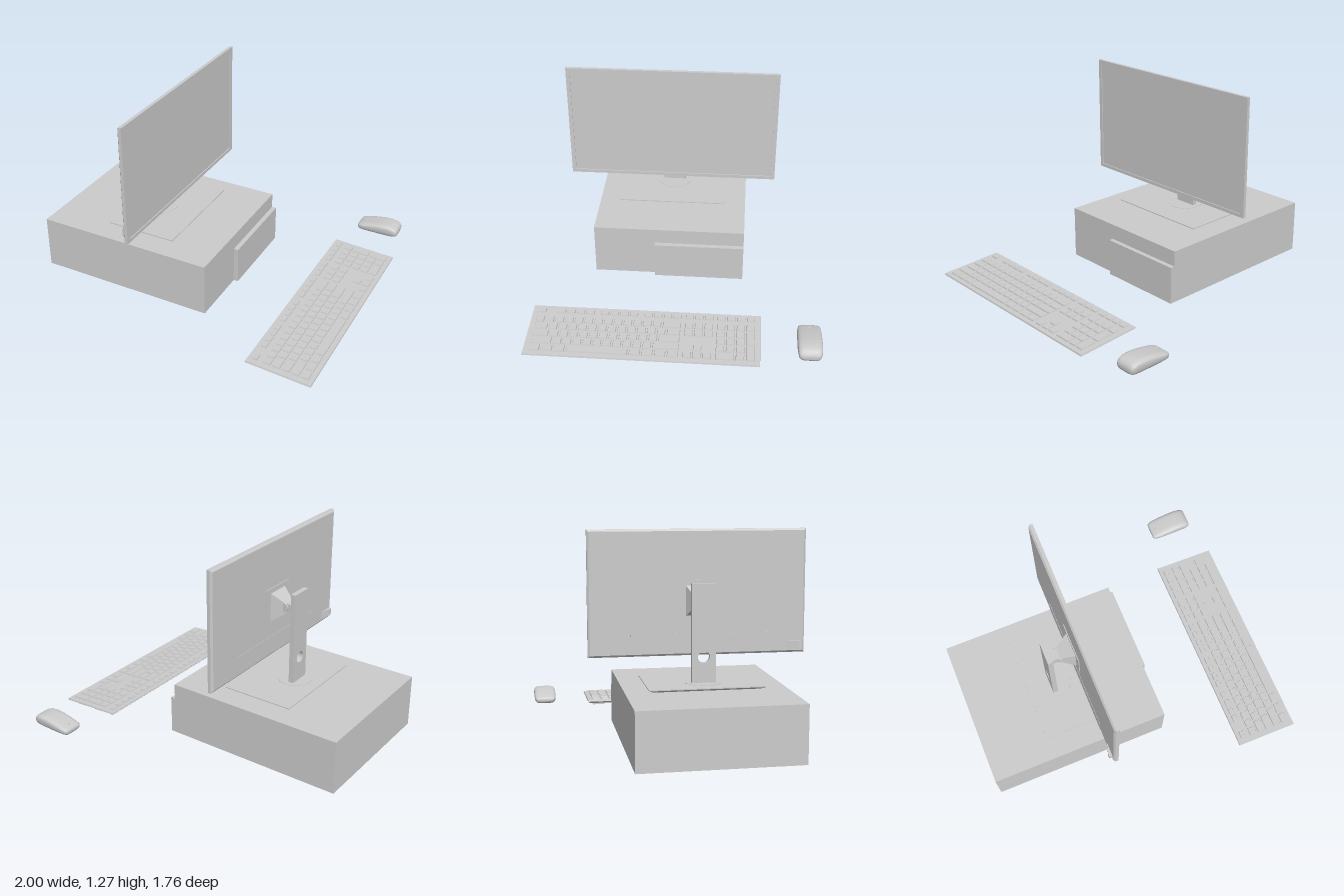
import * as THREE from 'three';
import { mergeGeometries } from 'three/addons/utils/BufferGeometryUtils.js';

const grey = new THREE.MeshStandardMaterial({ color: 0xcccccc, side: THREE.DoubleSide });

function add(parent, name, geo, x = 0, y = 0, z = 0) {
  const mesh = new THREE.Mesh(geo, grey);
  mesh.name = name;
  mesh.position.set(x, y, z);
  parent.add(mesh);
  return mesh;
}

// Box given by its limits on each axis
function block(parent, name, [x0, x1], [y0, y1], [z0, z1]) {
  return add(parent, name, new THREE.BoxGeometry(x1 - x0, y1 - y0, z1 - z0),
    (x0 + x1) / 2, (y0 + y1) / 2, (z0 + z1) / 2);
}

// Box with different bottom and top sizes, standing on y = 0
function frustum(w0, d0, w1, d1, h) {
  const geo = new THREE.BoxGeometry(1, h, 1).translate(0, h / 2, 0);
  const p = geo.attributes.position;
  for (let i = 0; i < p.count; i++) {
    const top = p.getY(i) > h / 2;
    p.setX(i, p.getX(i) * (top ? w1 : w0));
    p.setZ(i, p.getZ(i) * (top ? d1 : d0));
  }
  geo.computeVertexNormals();
  return geo;
}

// Upright rectangle facing +x, with a hole path, extruded along x
function plateWithHole(width, height, hole, depth) {
  const w = width / 2, h = height / 2;
  const shape = new THREE.Shape([[-w, -h], [w, -h], [w, h], [-w, h]].map(p => new THREE.Vector2(...p)));
  shape.holes.push(hole);
  return new THREE.ExtrudeGeometry(shape, { depth, bevelEnabled: false, curveSegments: 24 }).rotateY(Math.PI / 2);
}

function buildComputer() {
  const g = new THREE.Group();
  g.name = 'computerCase';
  block(g, 'caseBody', [-1, 0.16], [0, 0.343], [-0.4, 0.56]);
  block(g, 'frontPanel', [0.16, 0.19], [0, 0.243], [-0.4, 0.17]);
  return g;
}

function buildMonitor() {
  const g = new THREE.Group();
  g.name = 'monitor';
  const cz = 0.085, cy = 0.8825, W = 1.34, H = 0.765;

  // Stand: undercut foot, round cover, column with cable hole
  add(g, 'standFoot', frustum(0.40, 0.63, 0.46, 0.69, 0.014), -0.37, 0.343, 0.08);
  block(g, 'standFootTop', [-0.6, -0.14], [0.357, 0.363], [-0.265, 0.425]);
  add(g, 'footCover', new THREE.CylinderGeometry(0.11, 0.11, 0.002, 32), -0.42, 0.364, cz);
  const hole = new THREE.Path().absarc(0, -0.14, 0.036, 0, Math.PI * 2, true);
  add(g, 'column', plateWithHole(0.145, 0.592, hole, 0.032), -0.452, 0.659, cz);

  // Arm, hinge and flaring mount
  block(g, 'arm', [-0.42, -0.35], [0.815, 0.868], [0.05, 0.12]);
  add(g, 'hinge', new THREE.CylinderGeometry(0.027, 0.027, 0.09, 24).rotateX(Math.PI / 2), -0.355, 0.841, cz);
  add(g, 'mountCone', frustum(0.055, 0.07, 0.19, 0.16, 0.095).rotateZ(-Math.PI / 2), -0.37, 0.836, cz);
  block(g, 'mountPlate', [-0.28, -0.27], [0.73, 0.96], [-0.04, 0.21]);

  // Screen housing with chamfered back, raised bezel around the panel
  add(g, 'housingBack', frustum(H - 0.025, W - 0.025, H, W, 0.01).rotateZ(-Math.PI / 2), -0.275, cy, cz);
  block(g, 'housing', [-0.265, -0.25], [0.5, 1.265], [cz - W / 2, cz + W / 2]);
  const w = W / 2 - 0.025, h = H / 2 - 0.022;
  const opening = new THREE.Path([[-w, -h], [-w, h], [w, h], [w, -h]].map(p => new THREE.Vector2(...p)));
  opening.closePath();
  add(g, 'bezel', plateWithHole(W, H, opening, 0.006), -0.25, cy, cz);
  block(g, 'connectorCover', [-0.277, -0.27], [0.515, 0.635], [-0.33, 0.53]);

  // Wedge-shaped control pod on the back
  const wedge = new THREE.Shape([[-0.27, -0.62], [-0.295, -0.71], [-0.295, -0.73], [-0.27, -0.73]]
    .map(p => new THREE.Vector2(...p)));
  add(g, 'controlPod', new THREE.ExtrudeGeometry(wedge, { depth: 0.045, bevelEnabled: false })
    .rotateX(-Math.PI / 2), 0, 0.53, 0);
  return g;
}

function buildKeyboard() {
  const g = new THREE.Group();
  g.name = 'keyboard';
  g.position.set(0.795, 0.034, 0.18);
  g.rotation.z = -0.05;
  add(g, 'tray', frustum(0.38, 1.37, 0.41, 1.4, 0.012), 0, -0.022, 0);
  add(g, 'deck', frustum(0.41, 1.4, 0.404, 1.394, 0.01), 0, -0.01, 0);
  for (const z of [-0.62, 0.62]) {
    block(g, 'foot', [-0.145, -0.105], [-0.04, -0.02], [z - 0.04, z + 0.04]);
  }

  // Key widths per row in units, negative values are gaps
  const ones = n => Array(n).fill(1);
  const rows = [
    [1, -1, ...ones(4), -0.5, ...ones(4), -0.5, ...ones(4), -0.25, ...ones(3), -0.25, ...ones(4)],
    [...ones(13), 2, -0.25, ...ones(3), -0.25, ...ones(4)],
    [1.5, ...ones(12), 1.5, -0.25, ...ones(3), -0.25, ...ones(3)],
    [1.75, ...ones(11), 2.25, -3.5, ...ones(3)],
    [2.25, ...ones(10), 2.75, -1.25, 1, -1.25, ...ones(3)],
    [1.25, 1.25, 1.25, 6.25, 1.25, 1.25, 1.25, 1.25, -0.25, ...ones(3), -0.25, 2, 1],
  ];
  const U = 0.0596, gap = 0.01, keys = [];
  const key = (x, z, dx, dz) => keys.push(
    frustum(dx - gap, dz - gap, dx - gap - 0.006, dz - gap - 0.006, 0.009).translate(x, 0, z));
  const rowX = r => (r === 0 ? -0.16 : -0.145 + r * 0.059);
  rows.forEach((row, r) => {
    let z = 0.67;
    for (const n of row) {
      const size = Math.abs(n) * U;
      if (n > 0 && !(r === 5 && z < -0.6)) key(rowX(r), z - size / 2, r ? 0.059 : 0.044, size);
      z -= size;
    }
  });
  // Two double-height keys at the end of the number pad
  for (const r of [2.5, 4.5]) key(rowX(r), 0.67 - 22 * U, 0.118, U);
  add(g, 'keys', mergeGeometries(keys));
  return g;
}

function buildMouse() {
  const g = new THREE.Group();
  g.name = 'mouse';
  // Cross-sections along x: position, half width, bottom, top
  const sections = [
    [0.66, 0.045, 0.034, 0.046], [0.662, 0.057, 0.027, 0.054], [0.672, 0.066, 0.018, 0.062],
    [0.70, 0.071, 0.014, 0.070], [0.75, 0.073, 0.013, 0.082], [0.81, 0.074, 0.013, 0.093],
    [0.86, 0.074, 0.013, 0.097], [0.90, 0.072, 0.014, 0.094], [0.925, 0.068, 0.018, 0.084],
    [0.938, 0.06, 0.026, 0.070], [0.941, 0.045, 0.036, 0.056],
  ];
  const N = 32, pos = [], idx = [];
  const power = (v, e) => Math.sign(v) * Math.abs(v) ** e;
  for (const [x, hw, y0, y1] of sections) {
    for (let i = 0; i < N; i++) {
      const a = (i / N) * Math.PI * 2;
      const v = power(Math.sin(a), 0.55);
      const taper = v < 0 ? 1 + 0.1 * v : 1;
      pos.push(x, (y0 + y1) / 2 + v * (y1 - y0) / 2, power(Math.cos(a), 0.5) * hw * taper);
    }
  }
  const last = sections.length - 1;
  for (let s = 0; s < last; s++) {
    for (let i = 0; i < N; i++) {
      const a = s * N + i, b = s * N + (i + 1) % N;
      idx.push(a, a + N, b, b, a + N, b + N);
    }
  }
  for (let i = 1; i < N - 1; i++) {
    idx.push(0, i, i + 1, last * N, last * N + i + 1, last * N + i);
  }
  // Faces wind outward: cross-sections turn from +z to +y
  for (let i = 0; i < idx.length; i += 3) [idx[i + 1], idx[i + 2]] = [idx[i + 2], idx[i + 1]];
  const geo = new THREE.BufferGeometry();
  geo.setAttribute('position', new THREE.Float32BufferAttribute(pos, 3));
  geo.setIndex(idx);
  // Put the winding right if the enclosed volume comes out negative
  const p = i => new THREE.Vector3().fromArray(pos, idx[i] * 3);
  let volume = 0;
  for (let i = 0; i < idx.length; i += 3) volume += p(i).dot(p(i + 1).cross(p(i + 2)));
  if (volume < 0) geo.setIndex(idx.reverse());
  geo.computeVertexNormals();
  add(g, 'mouseBody', geo, 0, 0, -0.81);
  add(g, 'scrollWheel', new THREE.CylinderGeometry(0.016, 0.016, 0.01, 20).rotateX(Math.PI / 2), 0.697, 0.057, -0.81);
  return g;
}

export function createModel() {
  const model = new THREE.Group();
  model.name = 'desktopComputer';
  model.add(buildComputer(), buildMonitor(), buildKeyboard(), buildMouse());
  return model;
}
